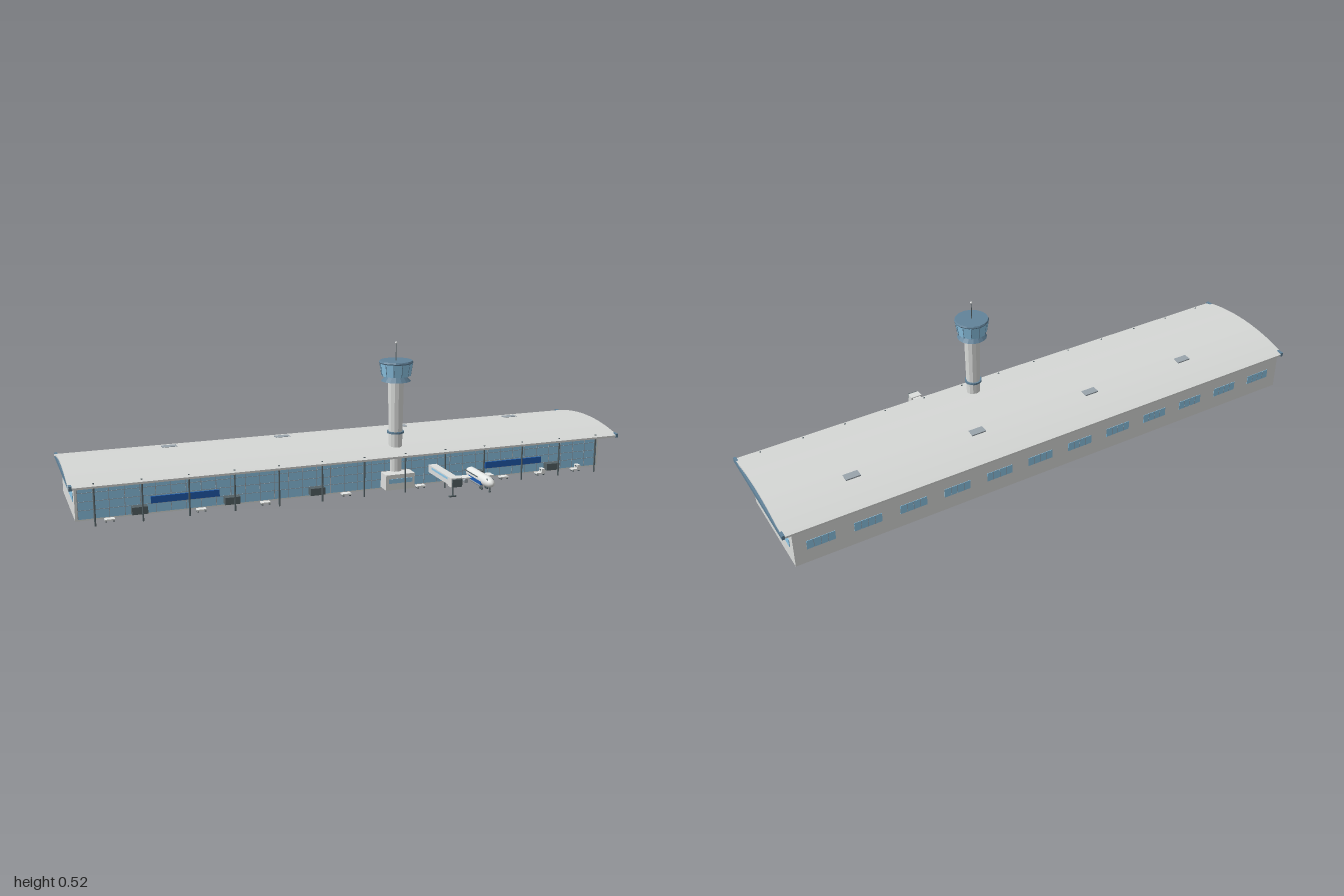
import * as THREE from 'three';

const mat = (name, color) => {
  const m = new THREE.MeshStandardMaterial({ color });
  m.name = name;
  return m;
};

export function createModel() {
  const wall = mat('wall grey', 0xdcdedc);
  const roofMat = mat('roof grey', 0xd6d8d6);
  const glass = mat('glass blue', 0x8fc8e8);
  const steel = mat('steel blue', 0x62839a);
  const dark = mat('dark metal', 0x566367);
  const blue = mat('strong blue', 0x205cb0);
  const white = mat('off white', 0xf0f2f0);
  const mid = mat('mid grey', 0x9aa4ac);

  const model = new THREE.Group();
  model.name = 'airportTerminal';
  let parent = model;
  const group = (name, x = 0, y = 0, z = 0) => {
    parent = new THREE.Group();
    parent.name = name;
    parent.position.set(x, y, z);
    model.add(parent);
  };
  const add = (name, geo, m, x = 0, y = 0, z = 0) => {
    const mesh = new THREE.Mesh(geo, m);
    mesh.name = name;
    mesh.position.set(x, y, z);
    parent.add(mesh);
    return mesh;
  };
  // box given by its limits
  const box = (name, m, x0, x1, y0, y1, z0, z1) =>
    add(name, new THREE.BoxGeometry(x1 - x0, y1 - y0, z1 - z0), m,
      (x0 + x1) / 2, (y0 + y1) / 2, (z0 + z1) / 2);
  // upright faceted cylinder or cone given by its limits
  const drum = (name, m, y0, y1, r0, r1, x = 0, z = 0, sides = 16) => {
    const geo = new THREE.CylinderGeometry(r1, r0, y1 - y0, sides).toNonIndexed();
    geo.computeVertexNormals();
    return add(name, geo, m, x, (y0 + y1) / 2, z);
  };
  const wheel = (x, z, r = 0.005) => {
    const geo = new THREE.CylinderGeometry(r, r, 0.005, 12).rotateZ(Math.PI / 2);
    add('wheel', geo, dark, x, r, z);
  };

  // Terminal hall
  group('hall');
  box('walls', wall, -0.975, 0.967, 0, 0.127, -0.281, 0.077);
  box('frontGlass', glass, -0.967, 0.959, 0.005, 0.123, 0.074, 0.0785);
  for (let i = 0; i <= 38; i++) {
    const x = -0.966 + i * 0.0506;
    box('mullion', mid, x - 0.001, x + 0.001, 0.005, 0.123, 0.076, 0.0793);
  }
  for (const y of [0.035, 0.064, 0.093]) {
    box('transom', mid, -0.967, 0.959, y - 0.0008, y + 0.0008, 0.076, 0.0793);
  }
  box('entranceBand', dark, -0.36, 0.35, 0.112, 0.124, 0.077, 0.084);
  box('rightPanel', blue, -0.73, -0.5, 0.037, 0.06, 0.077, 0.084);
  box('leftPanel', blue, 0.49, 0.72, 0.037, 0.06, 0.077, 0.084);
  box('leftSideWindow', glass, 0.964, 0.969, 0.058, 0.087, -0.25, 0.045);
  box('rightSideWindow', glass, -0.977, -0.972, 0.058, 0.087, -0.25, 0.045);
  for (let i = 0; i < 12; i++) {
    const x = -0.884 + i * 0.16;
    box('backWindow', glass, x - 0.048, x + 0.048, 0.053, 0.086, -0.2825, -0.278);
    for (const d of [-0.024, 0, 0.024]) {
      box('windowBar', mid, x + d - 0.0008, x + d + 0.0008, 0.053, 0.086, -0.283, -0.279);
    }
  }

  // Arched roof: a thin shell swept along x
  group('roof');
  const arch = new THREE.Shape();
  const n = 32, mz = -0.0625, half = 0.2225;
  const rise = t => 0.031 * (1 - t * t);
  for (let i = 0; i <= n; i++) {
    const t = -1 + 2 * i / n;
    arch[i ? 'lineTo' : 'moveTo'](-(mz + half * t), 0.136 + rise(t));
  }
  for (let i = n; i >= 0; i--) {
    const t = -1 + 2 * i / n;
    arch.lineTo(-(mz + half * t), 0.129 + rise(t));
  }
  const shell = new THREE.ExtrudeGeometry(arch, { depth: 1.994, bevelEnabled: false });
  shell.rotateY(Math.PI / 2);
  add('archedShell', shell, roofMat, -0.999, 0, 0);
  for (const s of [-1, 1]) {
    add('endBeam', new THREE.BoxGeometry(0.01, 0.015, 0.446), steel, s * 0.993, 0.1345, mz);
  }
  for (const x of [-0.62, -0.21, 0.247, 0.707]) {
    box('skylight', mid, x - 0.026, x + 0.026, 0.15, 0.165, -0.164, -0.135);
  }

  // Columns carrying the front eave
  group('columns');
  for (let i = 0; i < 13; i++) {
    drum('column', dark, 0, 0.142, 0.003, 0.003, -0.92 + i * 0.1525, 0.145, 8);
  }

  // Control tower
  group('controlTower', 0.138, 0, 0.075);
  drum('shaft', wall, 0, 0.39, 0.021, 0.028, 0, 0, 12);
  drum('collar', steel, 0.2, 0.207, 0.03, 0.03);
  drum('flare', steel, 0.386, 0.406, 0.052, 0.034);
  drum('cabGlass', glass, 0.405, 0.45, 0.051, 0.058, 0, 0, 12);
  for (let i = 0; i < 12; i++) {
    const a = i * Math.PI / 6;
    const post = add('cabPost', new THREE.BoxGeometry(0.002, 0.045, 0.002), steel,
      Math.sin(a) * 0.0545, 0.4275, Math.cos(a) * 0.0545);
    post.rotation.order = 'YXZ';
    post.rotation.set(0.154, a, 0);
  }
  drum('cabRoofEdge', steel, 0.449, 0.453, 0.058, 0.06);
  drum('cabRoof', steel, 0.453, 0.458, 0.06, 0.057);
  drum('mast', dark, 0.457, 0.52, 0.0018, 0.0015, 0, 0, 6);
  add('mastBall', new THREE.SphereGeometry(0.004, 12, 8), white, 0, 0.52, 0);

  // Tower entrance block
  group('towerBase');
  box('block', wall, 0.082, 0.19, 0.008, 0.063, 0.077, 0.13);
  box('blockWindow', glass, 0.092, 0.18, 0.032, 0.048, 0.127, 0.132);

  // Boarding bridge
  group('boardingBridge');
  box('tunnel', wall, 0.266, 0.296, 0.044, 0.072, 0.077, 0.255);
  box('tunnelWindow', glass, 0.2645, 0.2975, 0.061, 0.068, 0.108, 0.24);
  box('cab', wall, 0.261, 0.301, 0.043, 0.075, 0.252, 0.28);
  box('cabHood', dark, 0.263, 0.299, 0.045, 0.072, 0.279, 0.287);
  drum('leg', dark, 0.004, 0.045, 0.003, 0.003, 0.281, 0.25, 8);
  box('legFoot', dark, 0.268, 0.294, 0, 0.004, 0.246, 0.254);

  // Parked aircraft
  group('aircraft');
  const px = 0.424;
  const profile = [[0, 0.08], [0.012, 0.082], [0.019, 0.1], [0.019, 0.23], [0.0175, 0.247],
    [0.013, 0.262], [0.007, 0.27], [0, 0.272]];
  const hull = new THREE.LatheGeometry(profile.map(p => new THREE.Vector2(...p)), 20);
  hull.rotateX(Math.PI / 2);
  add('fuselage', hull, white, px, 0.0355, 0);
  box('bellyPanel', blue, px - 0.0195, px + 0.0195, 0.02, 0.032, 0.122, 0.218);
  box('cabinWindows', dark, px - 0.019, px + 0.019, 0.04, 0.0435, 0.085, 0.188);
  const screen = add('cockpitWindow', new THREE.BoxGeometry(0.024, 0.003, 0.009), dark, px, 0.0475, 0.25);
  screen.rotation.x = 0.35;
  box('wings', white, px - 0.07, px + 0.07, 0.026, 0.029, 0.11, 0.145);
  for (const s of [-1, 1]) {
    const pod = new THREE.CylinderGeometry(0.006, 0.006, 0.08, 14).rotateX(Math.PI / 2);
    add('bellyPod', pod, mid, px + s * 0.011, 0.015, 0.168);
    const engine = new THREE.CylinderGeometry(0.008, 0.006, 0.03, 14).rotateX(Math.PI / 2);
    add('engine', engine, mid, px + s * 0.045, 0.02, 0.14);
    wheel(px + s * 0.01, 0.21);
    wheel(px + s * 0.01, 0.198);
  }
  drum('noseLeg', dark, 0.004, 0.022, 0.002, 0.002, px, 0.25, 8);
  wheel(px, 0.25, 0.004);

  // Gate boxes at every second column
  group('gates');
  for (const x of [-0.77, -0.46, -0.16, 0.45, 0.76]) {
    box('gateBox', dark, x - 0.026, x + 0.026, 0.01, 0.035, 0.077, 0.105);
  }

  // Service carts on the apron
  group('serviceCarts');
  for (const x of [-0.87, -0.57, -0.35, -0.06, 0.22, 0.55, 0.7, 0.85]) {
    box('cartBed', white, x - 0.016, x + 0.016, 0.005, 0.01, 0.1, 0.122);
    if (x > 0.6) {
      box('cartCab', white, x + 0.003, x + 0.016, 0.01, 0.024, 0.1, 0.122);
      box('cartWindow', dark, x + 0.0025, x + 0.0165, 0.016, 0.022, 0.105, 0.117);
    }
    for (const dx of [-0.012, 0.012]) for (const z of [0.104, 0.118]) wheel(x + dx, z, 0.004);
  }

  return model;
}
